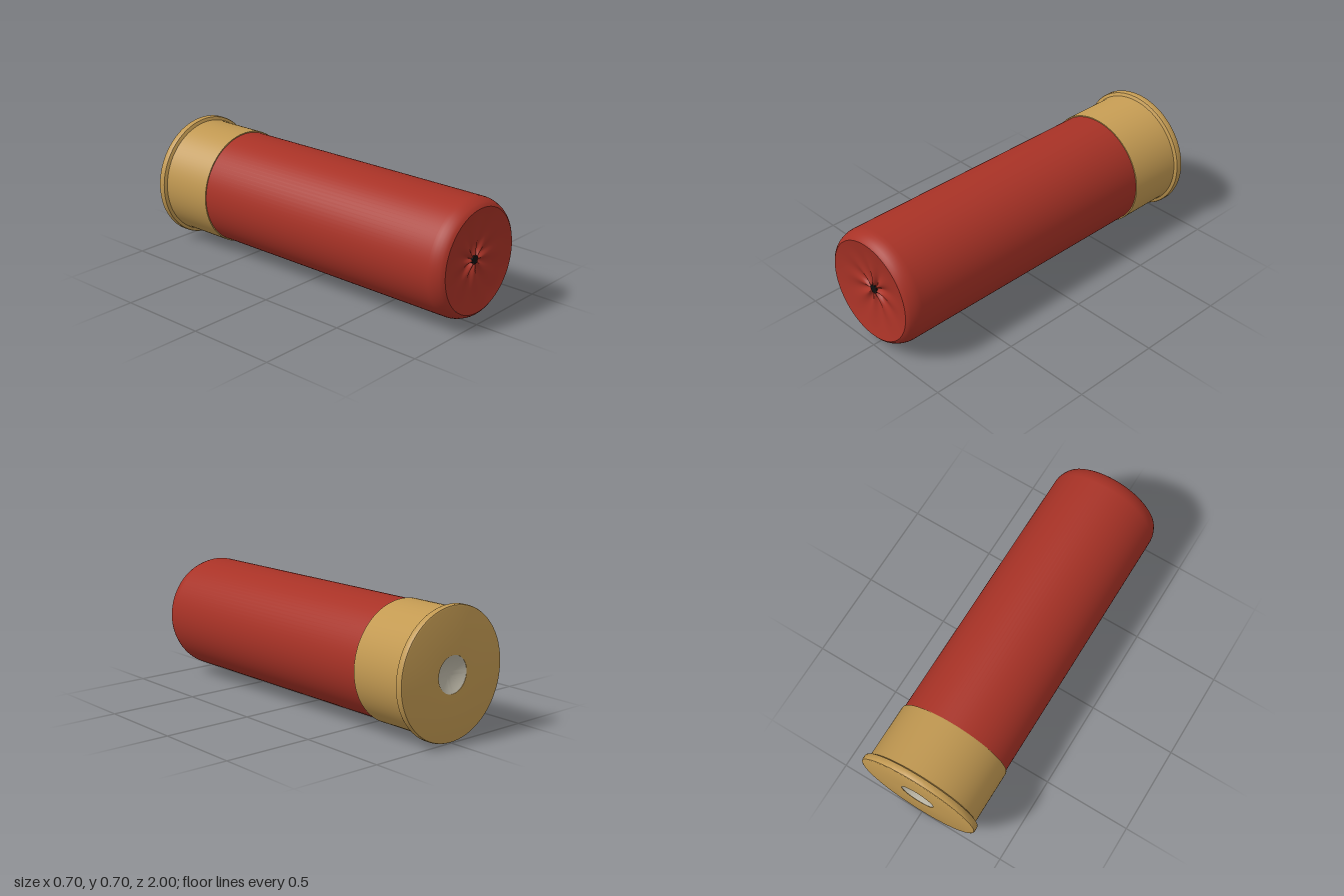
import * as THREE from 'three';
import { mergeVertices, toCreasedNormals } from 'three/addons/utils/BufferGeometryUtils.js';

const SEGMENTS = 96;
const MOUTH = 0.28; // radius of the folded front face

function material(name, color) {
  const m = new THREE.MeshStandardMaterial({ color });
  m.name = name;
  return m;
}

// Turned part around the z axis; profile points are [radius, z]
function turned(profile, crease = 0.5) {
  const points = profile.map(([r, z]) => new THREE.Vector2(r, z));
  const geometry = new THREE.LatheGeometry(points, SEGMENTS).rotateX(Math.PI / 2);
  return toCreasedNormals(geometry, crease);
}

// Shallow dish with eight radial folds that fade toward the edge
function foldedFace() {
  let geometry = new THREE.RingGeometry(0.004, MOUTH, 128, 36);
  const p = geometry.attributes.position;
  for (let i = 0; i < p.count; i++) {
    const r = Math.hypot(p.getX(i), p.getY(i));
    const angle = Math.atan2(p.getY(i), p.getX(i));
    const t = Math.min(r / MOUTH, 1);
    const dish = -0.035 * (1 - t * t);
    const fold = 0.014 * Math.pow(1 - t, 2) * Math.min(1, r / 0.03) * Math.cos(8 * angle);
    p.setZ(i, 1 + dish + fold);
  }
  geometry.deleteAttribute('uv');
  geometry.deleteAttribute('normal');
  geometry = mergeVertices(geometry);
  geometry.computeVertexNormals();
  return geometry;
}

export function createModel() {
  const red = material('red plastic', 0xa83226);
  const brass = material('brass', 0xc39a52);
  const silver = material('silver metal', 0xbdb8a8);
  const black = material('black', 0x111111);

  const model = new THREE.Group();
  model.name = 'cartridge';
  const add = (name, geometry, mat) => {
    const mesh = new THREE.Mesh(geometry, mat);
    mesh.name = name;
    mesh.position.y = 0.348;
    model.add(mesh);
    return mesh;
  };

  // Plastic tube with a rounded front shoulder
  add('tube', turned([
    [0.317, -0.66], [0.317, 0.92], [0.315, 0.94], [0.309, 0.96],
    [0.3, 0.98], [0.291, 0.992], [MOUTH, 1],
  ], 0.7), red);
  add('foldedFront', foldedFace(), red);

  // Dark opening where the folds meet
  const opening = new THREE.CylinderGeometry(0.024, 0.024, 0.008, 24).rotateX(Math.PI / 2);
  add('centreOpening', opening, black).position.z = 0.969;

  // Metal base with a flanged rim and a hole in the back
  add('base', turned([
    [0.098, -0.985], [0.098, -1], [0.338, -1], [0.345, -0.997], [0.348, -0.99],
    [0.348, -0.968], [0.345, -0.961], [0.337, -0.957], [0.328, -0.953],
    [0.325, -0.945], [0.325, -0.646], [0.323, -0.64], [0.316, -0.64],
  ]), brass);

  // Concave dish set into the base
  const dish = [];
  for (let i = 0; i <= 8; i++) {
    const t = i / 8;
    dish.push([0.098 * t, -0.998 + 0.03 * (1 - t * t)]);
  }
  add('primer', turned(dish, 1), silver);

  return model;
}
